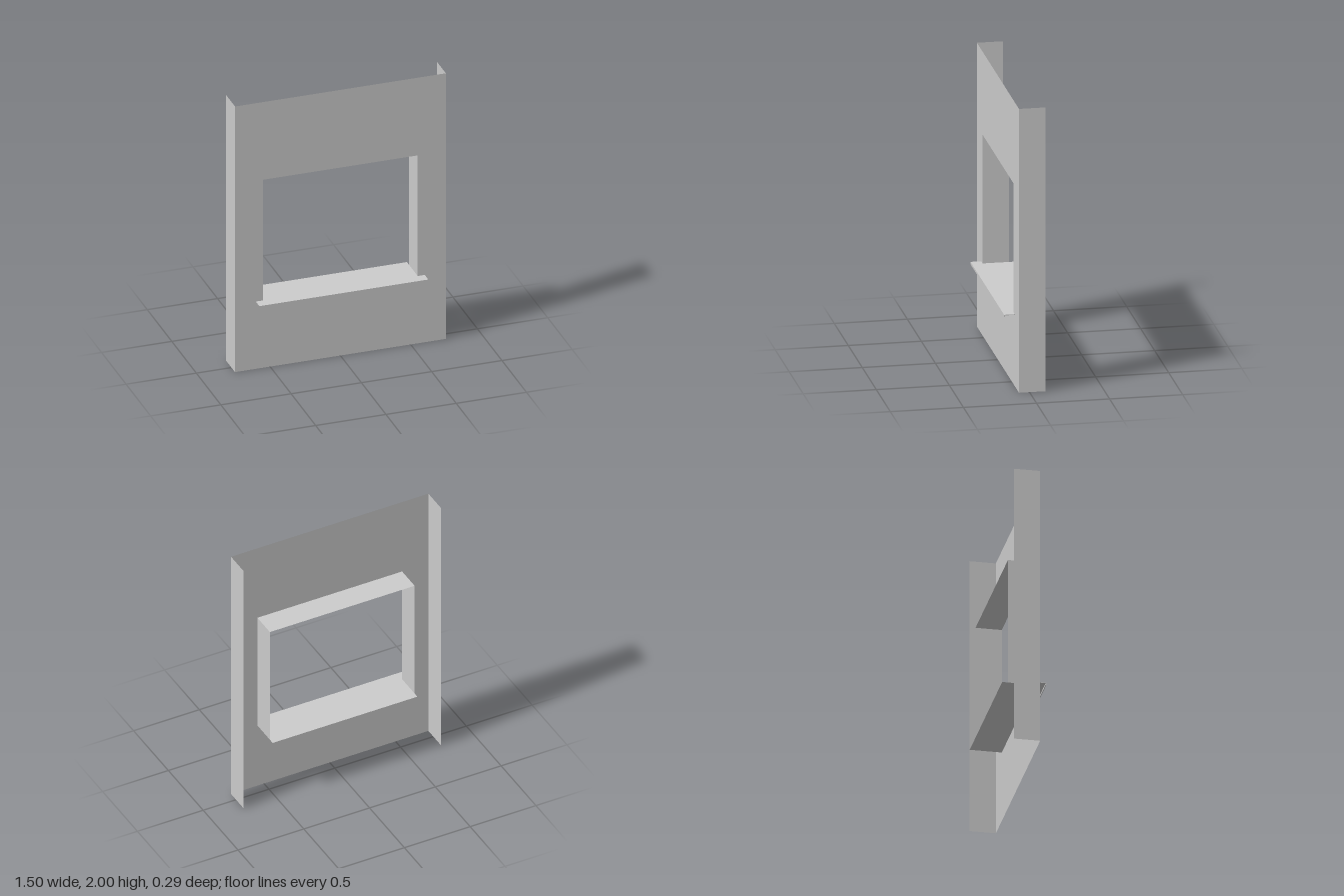
import * as THREE from 'three';

const W = 0.75, H = 2;              // panel half width and height
const OW = 0.55, Y0 = 0.507, Y1 = 1.415; // opening half width, bottom, top
const ZF = 0.072, ZB = -0.108;      // front face and rear edge of the returns

export function createModel() {
  const group = new THREE.Group();
  const mat = new THREE.MeshStandardMaterial({ color: 0xcccccc, side: THREE.DoubleSide });

  const add = (name, geometry) => {
    const mesh = new THREE.Mesh(geometry, mat);
    mesh.name = name;
    group.add(mesh);
    return mesh;
  };

  // Upright sheet running front to back
  const sideSheet = (name, x, y0, y1) => {
    const m = add(name, new THREE.PlaneGeometry(ZF - ZB, y1 - y0));
    m.rotation.y = Math.sign(x) * Math.PI / 2;
    m.position.set(x, (y0 + y1) / 2, (ZF + ZB) / 2);
  };

  // Level sheet between two depths
  const levelSheet = (name, halfWidth, y, zBack, zFront) => {
    const m = add(name, new THREE.PlaneGeometry(2 * halfWidth, zFront - zBack));
    m.rotation.x = -Math.PI / 2;
    m.position.set(0, y, (zBack + zFront) / 2);
  };

  // Front sheet with window opening
  const face = new THREE.Shape();
  face.moveTo(-W, 0).lineTo(W, 0).lineTo(W, H).lineTo(-W, H).closePath();
  const hole = new THREE.Path();
  hole.moveTo(-OW, Y0).lineTo(-OW, Y1).lineTo(OW, Y1).lineTo(OW, Y0).closePath();
  face.holes.push(hole);
  add('frontPanel', new THREE.ShapeGeometry(face)).position.z = ZF;

  // Outer returns and window jambs
  for (const [side, s] of [['left', 1], ['right', -1]]) {
    sideSheet(side + 'Return', s * W, 0, H);
    sideSheet(side + 'Jamb', s * OW, Y0, Y1);
  }

  // Window head and the sill, which runs on past the jambs
  levelSheet('windowHead', OW, Y1, ZB, ZF);
  levelSheet('sill', OW, Y0, ZB, ZF);
  levelSheet('sillRearEdge', OW, Y0, -0.148, ZB);

  // Wider sill nose with a turned-down drip lip, profile in depth and height
  const t = 0.005, zn = 0.145, yLip = 0.49;
  const nose = new THREE.Shape();
  nose.moveTo(ZF, Y0).lineTo(ZF, Y0 - t).lineTo(zn - t, Y0 - t)
    .lineTo(zn - t, yLip).lineTo(zn, yLip).lineTo(zn, Y0).closePath();
  const noseGeo = new THREE.ExtrudeGeometry(nose, { depth: 1.2, bevelEnabled: false });
  noseGeo.translate(0, 0, -0.6).rotateY(-Math.PI / 2); // profile depth becomes +z
  add('sillNose', noseGeo);

  return group;
}
